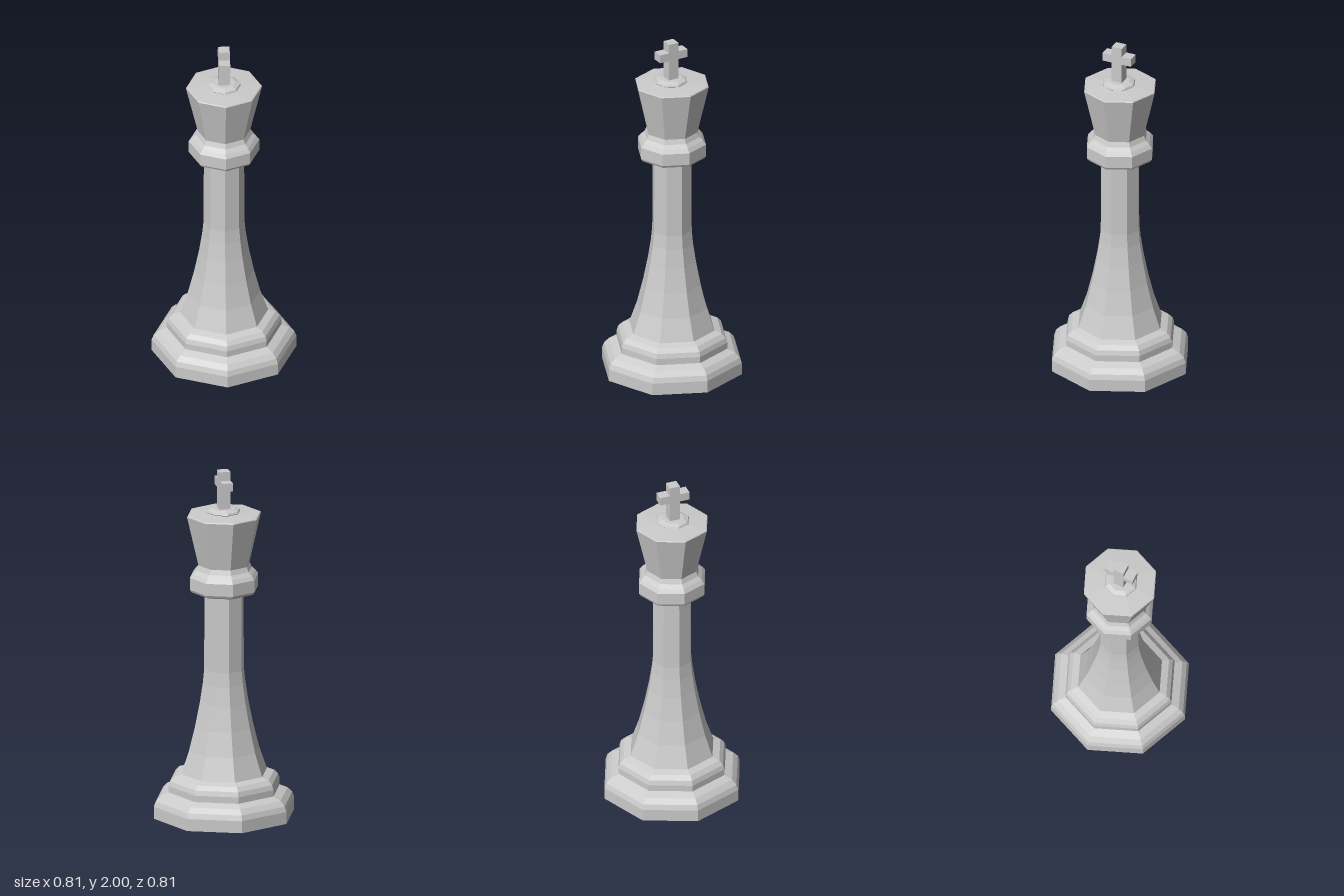
import * as THREE from 'three';

const material = new THREE.MeshStandardMaterial({ color: 0xcccccc, flatShading: true });

// Eight-sided turned part from [radius, height] pairs, listed bottom to top
function turned(name, profile) {
  const points = profile.map(([r, y]) => new THREE.Vector2(r, y));
  const mesh = new THREE.Mesh(new THREE.LatheGeometry(points, 8), material);
  mesh.name = name;
  return mesh;
}

// Plus-shaped outline from half widths and heights
function crossShape(post, arm, bottom, armLow, armHigh, top) {
  const half = [[post, bottom], [post, armLow], [arm, armLow], [arm, armHigh], [post, armHigh], [post, top]];
  const mirrored = half.map(([x, y]) => [-x, y]).reverse();
  return new THREE.Shape([...half, ...mirrored].map(([x, y]) => new THREE.Vector2(x, y)));
}

export function createModel() {
  const model = new THREE.Group();
  model.name = 'chessKing';

  // Two rounded steps of the foot
  model.add(turned('base', [
    [0, 0], [0.406, 0], [0.406, 0.07], [0.395, 0.1], [0.368, 0.128], [0.32, 0.148], [0, 0.148],
  ]));
  model.add(turned('baseStep', [
    [0.322, 0.148], [0.322, 0.185], [0.313, 0.212], [0.29, 0.236], [0.248, 0.25], [0, 0.25],
  ]));

  // Flared stem running straight up to the collar
  model.add(turned('stem', [
    [0.248, 0.25], [0.203, 0.38], [0.168, 0.52], [0.14, 0.66], [0.123, 0.77], [0.115, 0.85], [0.113, 1.3],
  ]));

  // Collar bulge
  model.add(turned('collar', [
    [0, 1.297], [0.168, 1.297], [0.19, 1.306], [0.198, 1.32],
    [0.198, 1.39], [0.182, 1.412], [0.16, 1.432], [0.148, 1.46],
  ]));

  // Widening head with a slightly raised top
  model.add(turned('head', [
    [0.148, 1.46], [0.214, 1.745], [0.21, 1.75], [0.095, 1.758], [0, 1.758],
  ]));

  // Small rounded button and the cross, set a touch forward
  const finial = new THREE.Group();
  finial.name = 'finial';
  finial.position.z = 0.006;
  finial.add(turned('button', [
    [0.088, 1.755], [0.095, 1.762], [0.09, 1.772], [0.065, 1.781], [0, 1.783],
  ]));

  const depth = 0.062;
  const geometry = new THREE.ExtrudeGeometry(
    crossShape(0.031, 0.088, 1.77, 1.9, 1.948, 2), { depth, bevelEnabled: false });
  geometry.translate(0, 0, -depth / 2).rotateY(Math.PI / 2);
  const cross = new THREE.Mesh(geometry, material);
  cross.name = 'cross';
  finial.add(cross);
  model.add(finial);

  return model;
}
